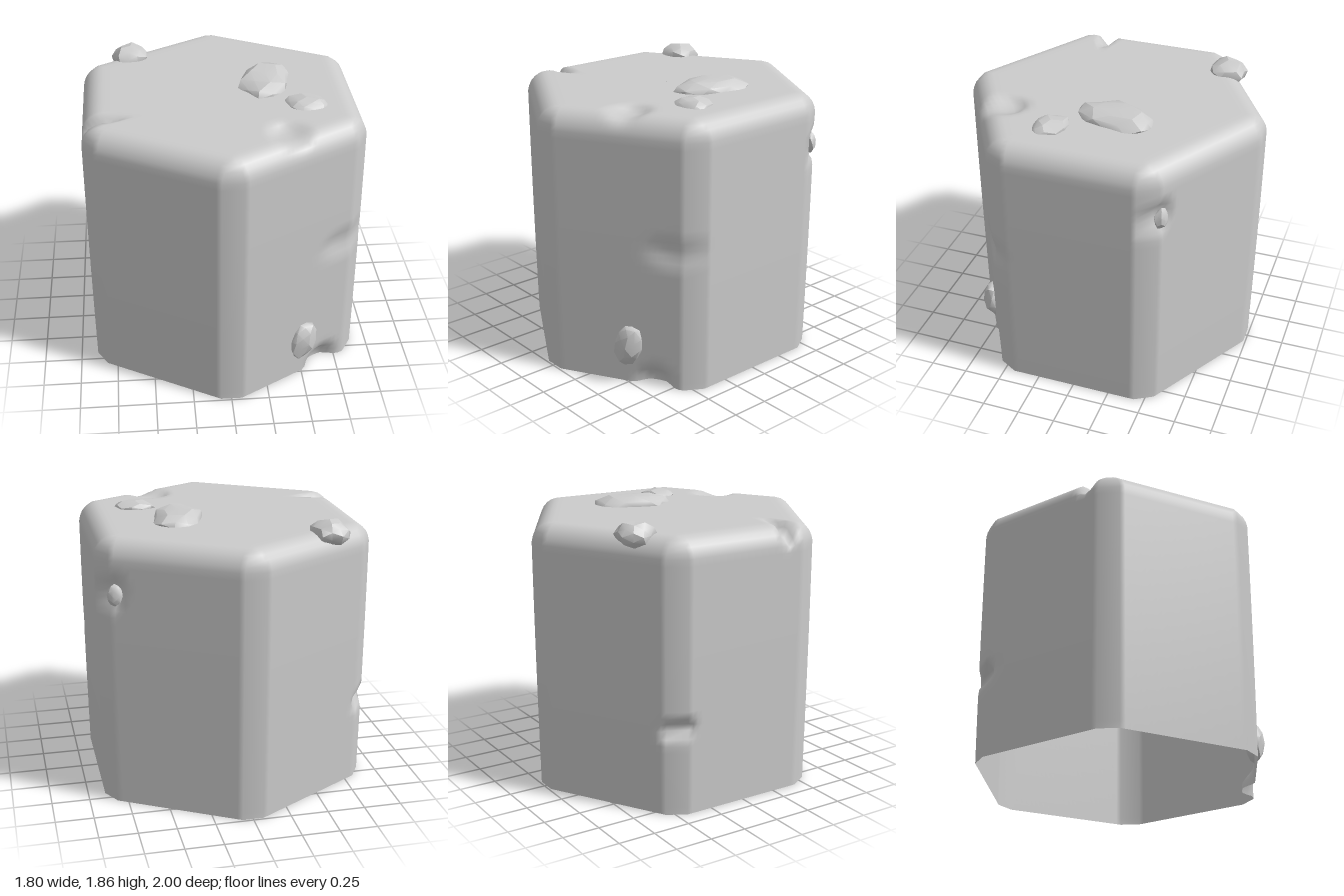
import * as THREE from 'three';
import { mergeVertices, toCreasedNormals } from 'three/addons/utils/BufferGeometryUtils.js';

const APOTHEM = 0.9;
const material = new THREE.MeshStandardMaterial({ color: 0xcccccc, side: THREE.DoubleSide });

// Chips and hollows: centre, radii, push vector
const DENTS = [
  { at: [-0.84, 1.76, 0.33], size: [0.26, 0.14, 0.07], push: [0.03, -0.06, 0] },
  { at: [0.38, 1.76, 0.62], size: [0.17, 0.16, 0.17], push: [-0.02, -0.045, -0.035] },
  { at: [-0.86, 0.57, -0.49], size: [0.12, 0.09, 0.15], push: [0.06, 0, 0.05] },
  { at: [0.65, 0.0, 0.66], size: [0.16, 0.16, 0.16], push: [-0.04, 0, -0.07] },
  { at: [0.78, 0.95, 0.6], size: [0.25, 0.12, 0.25], push: [-0.012, 0, -0.02] },
  { at: [0.81, 1.45, -0.57], size: [0.1, 0.14, 0.1], push: [-0.03, 0, 0.05] },
];

function dent(p) {
  const out = p.clone();
  for (const { at, size, push } of DENTS) {
    const d = Math.hypot((p.x - at[0]) / size[0], (p.y - at[1]) / size[1], (p.z - at[2]) / size[2]);
    if (d < 1) out.addScaledVector(new THREE.Vector3(...push), THREE.MathUtils.smoothstep(1 - d, 0, 0.75));
  }
  return out;
}

// Hexagon outline with its corners cut off
function hexRing(apothem, cut, y) {
  const R = apothem / Math.cos(Math.PI / 6), ring = [];
  const corner = k => new THREE.Vector3(R * Math.sin(k * Math.PI / 3), y, R * Math.cos(k * Math.PI / 3));
  const c = cut / R, n = 24;
  for (let k = 0; k < 6; k++) {
    const a = corner(k), b = corner(k + 1);
    for (let i = 0; i <= n; i++) ring.push(a.clone().lerp(b, c + (1 - 2 * c) * i / n));
  }
  return ring;
}

// Open-bottomed column: straight wall, rounded shoulder, flat top
function columnGeometry() {
  const rings = [];
  for (let i = 0; i <= 36; i++) {
    const y = 1.66 * i / 36;
    const inset = 0.012 * Math.pow(1 - i / 36, 2);
    rings.push(hexRing(APOTHEM - inset, 0.08, y));
  }
  for (const [inset, y, cut] of [[0.008, 1.695, 0.075], [0.025, 1.73, 0.06], [0.05, 1.758, 0.045],
    [0.08, 1.778, 0.025], [0.11, 1.787, 0.012], [0.14, 1.79, 0.01]]) {
    rings.push(hexRing(APOTHEM - inset, cut, y));
  }
  for (let i = 1; i <= 16; i++) {
    const s = Math.max(1 - i / 16, 0.002);
    rings.push(hexRing(0.76 * s, 0.01 * s, 1.79));
  }
  const n = rings[0].length, positions = [], index = [];
  for (const ring of rings) {
    for (const p of ring) {
      p.y += 0.008 * p.x * Math.max(0, p.y - 1.2) / 0.6;
      positions.push(...dent(p).toArray());
    }
  }
  for (let v = 0; v < rings.length - 1; v++) {
    for (let u = 0; u < n; u++) {
      const a = v * n + u, b = v * n + (u + 1) % n;
      index.push(a, b, b + n, a, b + n, a + n);
    }
  }
  const g = new THREE.BufferGeometry();
  g.setAttribute('position', new THREE.Float32BufferAttribute(positions, 3));
  g.setIndex(index);
  g.computeVertexNormals();
  return g;
}

// Irregular stone made from a wobbled low-poly ball
function pebble(name, position, scale, rotation, seed) {
  let g = new THREE.IcosahedronGeometry(1, 1);
  g.deleteAttribute('uv');
  g.deleteAttribute('normal');
  g = mergeVertices(g, 1e-3);
  const pos = g.attributes.position, p = new THREE.Vector3();
  for (let i = 0; i < pos.count; i++) {
    p.fromBufferAttribute(pos, i);
    p.multiplyScalar(1 + 0.09 * Math.sin(3.1 * p.x + 2.3 * p.y + 4.7 * p.z + seed));
    pos.setXYZ(i, p.x, p.y, p.z);
  }
  const mesh = new THREE.Mesh(toCreasedNormals(g, 0.55), material);
  mesh.name = name;
  mesh.position.set(...position);
  mesh.scale.set(...scale);
  mesh.rotation.set(...rotation, 'YXZ');
  return mesh;
}

export function createModel() {
  const group = new THREE.Group();
  group.name = 'hexagonalStoneColumn';

  const column = new THREE.Mesh(columnGeometry(), material);
  column.name = 'column';
  group.add(column);

  // Stones lying on the top
  group.add(
    pebble('topPebbleBack', [-0.57, 1.775, -0.61], [0.125, 0.085, 0.13], [0, 0.4, 0], 1.0),
    pebble('topPebbleLarge', [0.31, 1.785, -0.12], [0.17, 0.075, 0.27], [0, -0.25, 0], 2.2),
    pebble('topPebbleSmall', [0.54, 1.785, 0.24], [0.14, 0.05, 0.115], [0, -0.3, 0], 4.0),
  );

  // Stones stuck in the side faces
  group.add(
    pebble('frontPebble', [0.5, 0.27, 0.745], [0.095, 0.145, 0.065], [0, Math.PI / 6, -0.2], 3.0),
    pebble('backPebble', [0.795, 1.44, -0.565], [0.05, 0.07, 0.035], [0, Math.PI * 5 / 6, 0], 5.0),
  );
  return group;
}
